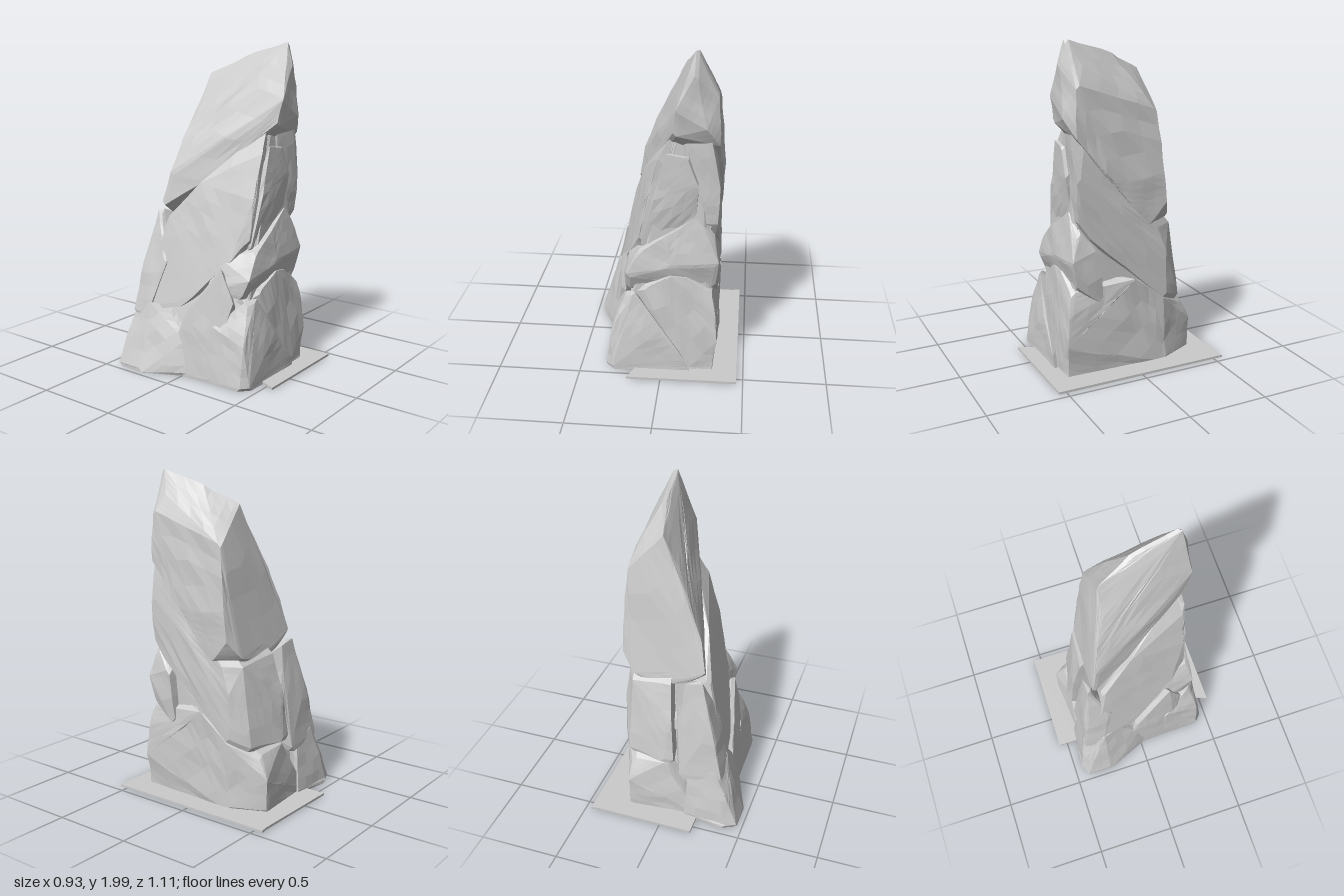
import * as THREE from 'three';
import { ConvexGeometry } from 'three/addons/geometries/ConvexGeometry.js';

const rockMaterial = new THREE.MeshStandardMaterial({ color: 0xcccccc, flatShading: true });

// split every triangle in four
function subdivide(triangles) {
  const mid = (a, b) => a.clone().add(b).multiplyScalar(0.5);
  return triangles.flatMap(([a, b, c]) => {
    const ab = mid(a, b), bc = mid(b, c), ca = mid(c, a);
    return [[a, ab, ca], [ab, b, bc], [ca, bc, c], [ab, bc, ca]];
  });
}

// gentle waves over the stone, leaving the footing flat
function weather(v, center) {
  if (v.y < 0.03) return;
  const wave = Math.sin(17 * v.x + 9 * v.y + 1) * Math.sin(19 * v.y - 8 * v.z) + Math.sin(21 * v.z + 11 * v.y + 2) * 0.6;
  v.addScaledVector(v.clone().sub(center).normalize(), 0.006 * wave);
}

// a boulder: convex block with chamfered corners and a weathered surface
function boulder(name, corners, chamfer = 0.025) {
  const points = corners.map(p => new THREE.Vector3(...p));
  const center = new THREE.Box3().setFromPoints(points).getCenter(new THREE.Vector3());
  const cut = points.flatMap(p => ['x', 'y', 'z'].map(axis => {
    const q = p.clone();
    q[axis] -= Math.sign(p[axis] - center[axis]) * chamfer;
    return q;
  }));
  const pos = new ConvexGeometry(cut).getAttribute('position');
  let triangles = [];
  for (let i = 0; i < pos.count; i += 3) {
    triangles.push([0, 1, 2].map(k => new THREE.Vector3().fromBufferAttribute(pos, i + k)));
  }
  triangles = subdivide(subdivide(triangles));
  const vertices = triangles.flat().map(v => v.clone());
  vertices.forEach(v => weather(v, center));
  const geometry = new THREE.BufferGeometry().setFromPoints(vertices);
  geometry.computeVertexNormals();
  const mesh = new THREE.Mesh(geometry, rockMaterial);
  mesh.name = name;
  return mesh;
}

export function createModel() {
  const group = new THREE.Group();
  group.name = 'rockSpire';

  // hidden filling behind the cracks
  group.add(boulder('core', [
    [0.2, 1.8, 0.33], [0.16, 1.65, -0.08], [0.28, 1.5, 0.32], [0.28, 1.4, -0.1],
    [0.08, 1.45, 0.33], [0.29, 0.02, 0.39], [-0.3, 0.02, 0.38], [-0.37, 0.02, -0.36],
    [0.22, 0.02, -0.38], [0.29, 0.02, -0.25],
  ]));

  // tall ridged blade with a slanting underside
  group.add(boulder('topSpear', [
    [0.205, 2.0, 0.375], [0.18, 1.92, 0.1], [0.12, 1.81, -0.125], [0.2, 1.87, 0.41],
    [0.07, 1.75, 0.2], [0.27, 1.86, 0.32], [0.1, 1.68, 0.42], [0.08, 1.54, 0.39],
    [0.25, 1.59, 0.41], [0.315, 1.76, 0.36], [0.325, 1.48, 0.36], [0.315, 1.6, -0.15],
    [0.34, 1.2, -0.19], [0.34, 1.02, -0.21], [0.335, 0.91, -0.12], [0.345, 1.17, 0.13],
    [0.34, 1.04, 0.0], [0.0, 1.62, -0.15], [-0.09, 1.4, -0.195], [-0.17, 1.2, -0.235],
    [-0.2, 1.02, -0.27], [-0.1, 0.95, -0.265], [0.1, 0.88, -0.27], [0.25, 0.92, -0.255],
    [-0.11, 1.18, -0.03], [-0.03, 1.35, 0.1],
  ], 0.02));

  // large block on the right side, below the spear, with an oblique back
  group.add(boulder('rightMiddleBlock', [
    [0.31, 1.4, 0.34], [0.335, 1.24, 0.375], [0.32, 1.0, 0.35], [0.325, 0.85, 0.28],
    [0.325, 0.62, 0.0], [0.33, 0.44, -0.22], [0.27, 0.38, -0.34], [0.27, 0.6, -0.3],
    [0.26, 0.86, -0.27], [0.32, 0.86, -0.16], [0.33, 0.7, -0.22], [0.12, 1.54, 0.35],
    [0.27, 1.56, 0.37], [0.2, 1.0, 0.35], [0.0, 0.9, -0.3], [-0.04, 0.4, -0.39],
    [0.02, 0.4, -0.395], [-0.02, 0.68, -0.36], [0.05, 0.8, 0.2],
  ]));

  // long slab sloping down the left side
  group.add(boulder('leftSlab', [
    [0.08, 1.51, 0.32], [0.0, 1.37, 0.35], [-0.08, 1.1, 0.34], [-0.14, 0.84, 0.34],
    [-0.2, 0.72, 0.25], [-0.26, 0.55, 0.1], [-0.31, 0.42, -0.08], [-0.345, 0.38, -0.3],
    [-0.22, 0.95, -0.22], [-0.12, 1.17, -0.02], [0.1, 0.8, 0.3], [0.0, 0.6, -0.3],
  ]));

  // rock filling the left flank down to the ground
  group.add(boulder('lowerLeftSlab', [
    [-0.36, 0.01, -0.1], [-0.35, 0.01, 0.2], [-0.32, 0.38, -0.03], [-0.28, 0.52, 0.08],
    [-0.23, 0.69, 0.22], [-0.23, 0.5, 0.3], [-0.32, 0.2, 0.25], [-0.15, 0.01, 0.2], [-0.15, 0.4, 0.0],
  ]));

  // leaning column under the spear at the back left
  group.add(boulder('backLeftColumn', [
    [-0.35, 0.33, -0.39], [-0.28, 0.68, -0.36], [-0.2, 0.98, -0.28], [-0.09, 0.95, -0.28],
    [-0.05, 0.7, -0.33], [-0.08, 0.3, -0.395], [-0.36, 0.33, -0.27], [-0.28, 0.7, -0.18],
    [0.0, 0.4, -0.2], [0.0, 0.88, -0.2],
  ]));

  // pointed slab on the front
  group.add(boulder('frontSlab', [
    [-0.13, 0.8, 0.345], [0.2, 1.0, 0.355], [0.21, 1.24, 0.385], [0.15, 1.39, 0.38],
    [0.04, 1.41, 0.37], [-0.05, 1.14, 0.37], [0.0, 0.9, 0.2], [0.15, 1.3, 0.2], [-0.14, 0.88, 0.25],
  ], 0.02));

  // bulging band across the front
  group.add(boulder('frontBand', [
    [-0.22, 0.53, 0.35], [-0.22, 0.62, 0.395], [-0.14, 0.8, 0.385], [0.05, 0.9, 0.385],
    [0.22, 1.01, 0.365], [0.3, 0.9, 0.36], [0.34, 0.72, 0.4], [0.32, 0.56, 0.365],
    [0.05, 0.7, 0.415], [0.33, 0.47, 0.2], [0.335, 0.8, 0.23], [-0.26, 0.56, 0.12], [-0.2, 0.75, 0.15],
  ]));

  // main base block
  group.add(boulder('baseBlock', [
    [0.31, 0.01, 0.43], [0.33, 0.2, 0.43], [0.32, 0.42, 0.415], [0.3, 0.55, 0.4],
    [0.33, 0.46, 0.16], [0.33, 0.58, 0.02], [0.33, 0.45, -0.2], [0.24, 0.36, -0.38],
    [0.24, 0.2, -0.43], [0.24, 0.01, -0.43], [0.33, 0.01, -0.23], [0.17, 0.64, 0.4],
    [0.03, 0.65, 0.405], [-0.11, 0.57, 0.4], [-0.19, 0.52, 0.34], [0.17, 0.01, 0.435],
    [-0.05, 0.01, 0.37], [-0.2, 0.01, -0.4], [0.0, 0.38, -0.385], [-0.22, 0.01, 0.1],
  ]));

  // wedge leaning on the front left
  group.add(boulder('frontLeftWedge', [
    [-0.345, 0.01, 0.42], [-0.3, 0.01, 0.46], [0.17, 0.01, 0.455], [0.14, 0.08, 0.455],
    [0.0, 0.29, 0.445], [-0.18, 0.53, 0.41], [-0.22, 0.51, 0.385], [-0.31, 0.25, 0.42],
    [-0.35, 0.01, 0.15], [-0.31, 0.35, 0.18], [-0.1, 0.3, 0.2], [-0.1, 0.01, 0.1],
  ], 0.02));

  // foot spreading out at the back left
  group.add(boulder('backLeftFoot', [
    [-0.465, 0.01, -0.42], [-0.465, 0.01, -0.26], [-0.4, 0.01, -0.45], [-0.4, 0.01, -0.14],
    [-0.36, 0.01, 0.02], [-0.39, 0.2, -0.4], [-0.39, 0.2, -0.25], [-0.35, 0.42, -0.28],
    [-0.32, 0.4, -0.39], [-0.12, 0.01, -0.42], [-0.14, 0.33, -0.39], [-0.33, 0.25, 0.0],
    [-0.31, 0.42, -0.12],
  ]));

  // thin ground plate
  const outline = new THREE.Shape([
    [-0.205, -0.555], [0.46, -0.55], [0.462, 0.558], [0.41, 0.55], [-0.205, 0.556],
    [-0.205, 0.42], [-0.16, 0.3], [-0.16, -0.45],
  ].map(p => new THREE.Vector2(...p)));
  const plate = new THREE.Mesh(
    new THREE.ExtrudeGeometry(outline, { depth: 0.014, bevelEnabled: false }), rockMaterial);
  plate.name = 'groundPlate';
  plate.rotation.x = -Math.PI / 2;
  plate.position.y = 0.012;
  group.add(plate);

  return group;
}
